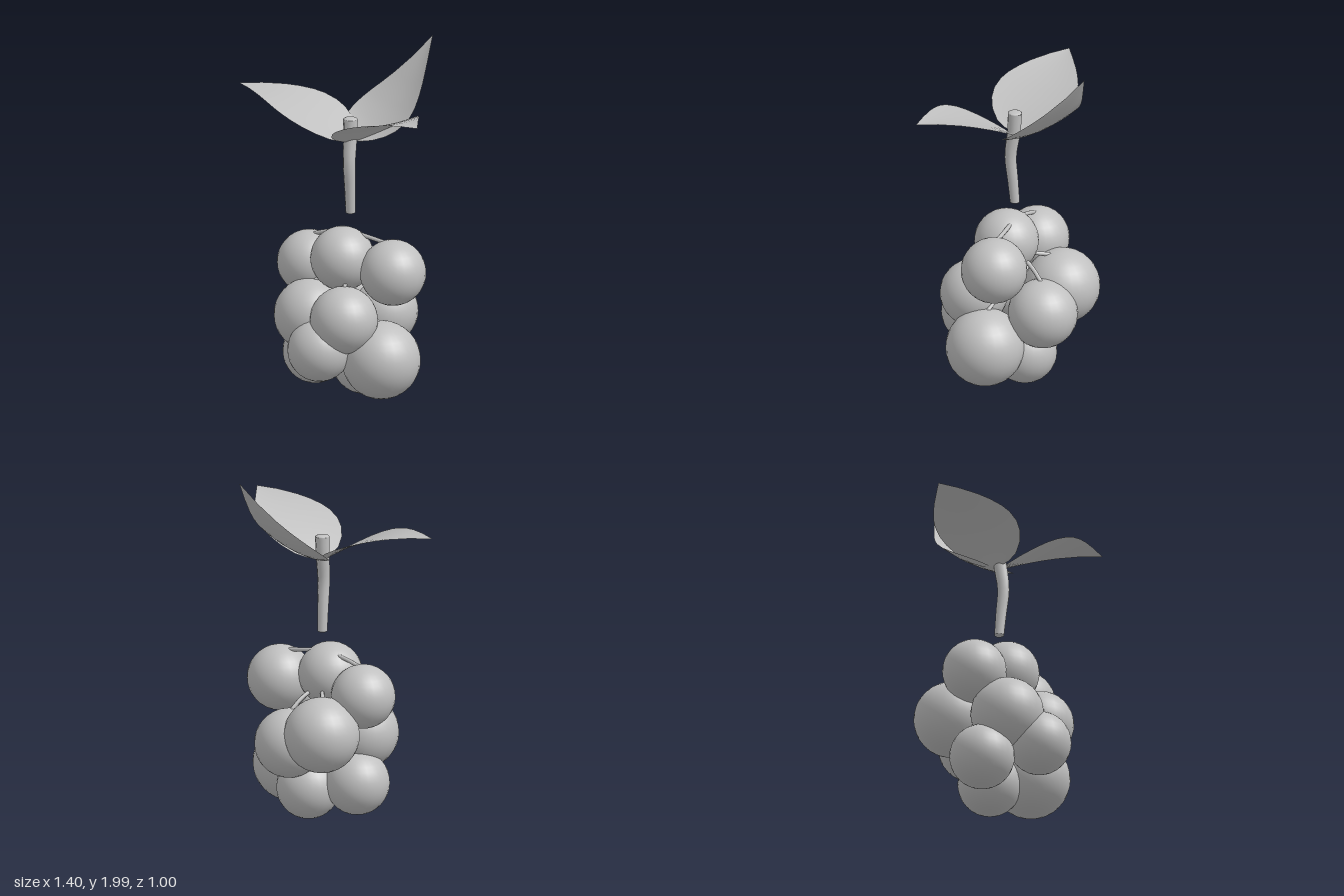
import * as THREE from 'three';

const gray = new THREE.MeshStandardMaterial({ color: 0xc0c0c0, side: THREE.DoubleSide });
gray.name = 'light gray';

const V = (x, y, z) => new THREE.Vector3(x, y, z);

function add(group, geometry, name) {
  const mesh = new THREE.Mesh(geometry, gray);
  mesh.name = name;
  group.add(mesh);
  return mesh;
}

// tapered round rod along a curve, closed at both ends
function rod(curve, rings, sides, radiusAt) {
  const geo = new THREE.TubeGeometry(curve, rings, 1, sides);
  const p = geo.attributes.position;
  for (let i = 0; i <= rings; i++) {
    const c = curve.getPointAt(i / rings);
    for (let j = 0; j <= sides; j++) {
      const k = i * (sides + 1) + j;
      const v = V().fromBufferAttribute(p, k).sub(c).multiplyScalar(radiusAt(i / rings)).add(c);
      p.setXYZ(k, v.x, v.y, v.z);
    }
  }
  return geo;
}

// half width of a leaf along its length: [position, half width]
const OUTLINE = [[0, 0.015], [0.02, 0.08], [0.06, 0.14], [0.14, 0.195], [0.23, 0.228], [0.32, 0.24],
  [0.42, 0.232], [0.5, 0.213], [0.6, 0.177], [0.7, 0.135], [0.85, 0.067], [1, 0]];

// leaf from base to tip; bend arches the midrib, cup lifts the edges
function leaf(base, tip, bend, cup) {
  const across = 8, pos = [], idx = [];
  const dir = tip.clone().sub(base);
  const side = V(-dir.z, 0, dir.x).normalize();
  OUTLINE.forEach(([s, w], i) => {
    for (let j = 0; j <= across; j++) {
      const v = (j / across) * 2 - 1;
      const q = base.clone().addScaledVector(dir, s).addScaledVector(side, w * v);
      q.y += bend * s * (1 - s) + cup * (w / 0.24) * v * v;
      pos.push(q.x, q.y, q.z);
      if (i && j) {
        const d = i * (across + 1) + j, c = d - 1, b = d - across - 1, a = b - 1;
        idx.push(a, b, c, b, d, c);
      }
    }
  });
  const geo = new THREE.BufferGeometry();
  geo.setAttribute('position', new THREE.Float32BufferAttribute(pos, 3));
  geo.setIndex(idx);
  geo.computeVertexNormals();
  return geo;
}

// each berry: x, y, z, radius, grouped by the height where its stalk branches off
const TIERS = [
  { node: 0.96, berries: [[0.01, 0.815, 0.11, 0.18], [0.29, 0.765, 0, 0.185], [-0.26, 0.735, 0.09, 0.18]] },
  { node: 0.76, berries: [[-0.165, 0.54, -0.145, 0.212], [-0.13, 0.485, 0.22, 0.205],
    [0.14, 0.51, 0.24, 0.19], [0.06, 0.46, -0.17, 0.195]] },
  { node: 0.58, berries: [[0.03, 0.335, 0.322, 0.178], [0.27, 0.27, 0.075, 0.22],
    [-0.205, 0.23, 0.1, 0.182], [0.04, 0.187, -0.035, 0.18]] },
];

export function createModel() {
  const model = new THREE.Group();
  model.name = 'berryCluster';

  // berries with their thin stalks
  const berries = new THREE.Group();
  berries.name = 'berries';
  model.add(berries);
  for (const { node, berries: list } of TIERS) {
    for (const [x, y, z, r] of list) {
      add(berries, new THREE.SphereGeometry(r, 28, 18), 'berry').position.set(x, y, z);
      const end = V(x, y + r * 0.85, z);
      const start = V(0.01, node, 0.05);
      const mid = start.clone().lerp(end, 0.6);
      mid.y = Math.max(node, end.y) - 0.02;
      const curve = new THREE.QuadraticBezierCurve3(start, mid, end);
      add(berries, rod(curve, 6, 8, () => 0.012), 'berryStalk');
    }
  }

  // main stem, thicker towards the top, with rounded ends
  const stem = new THREE.Group();
  stem.name = 'stem';
  model.add(stem);
  const path = new THREE.CatmullRomCurve3([V(0.015, 1.07, 0.05), V(0.02, 1.2, 0.06),
    V(0.025, 1.35, 0.072), V(0.017, 1.5, 0.055), V(0.015, 1.61, 0.05)]);
  add(stem, rod(path, 12, 10, (t) => 0.028 + 0.013 * t), 'stemRod');
  for (const [t, r, name] of [[0, 0.028, 'stemBottom'], [1, 0.041, 'stemTop']]) {
    const cap = add(stem, new THREE.SphereGeometry(r, 10, 8), name);
    cap.position.copy(path.getPointAt(t));
    cap.scale.y = 0.3;
  }

  // three leaves around the stem
  const leaves = new THREE.Group();
  leaves.name = 'leaves';
  model.add(leaves);
  add(leaves, leaf(V(0.025, 1.48, 0.045), V(0.7, 1.745, 0.245), 0.24, 0.02), 'leftLeaf');
  add(leaves, leaf(V(0, 1.48, 0.045), V(-0.705, 1.7, 0.182), 0.24, 0.02), 'rightLeaf');
  add(leaves, leaf(V(0.015, 1.48, 0.03), V(0.13, 2, -0.5), -0.4, 0.04), 'backLeaf');

  return model;
}
